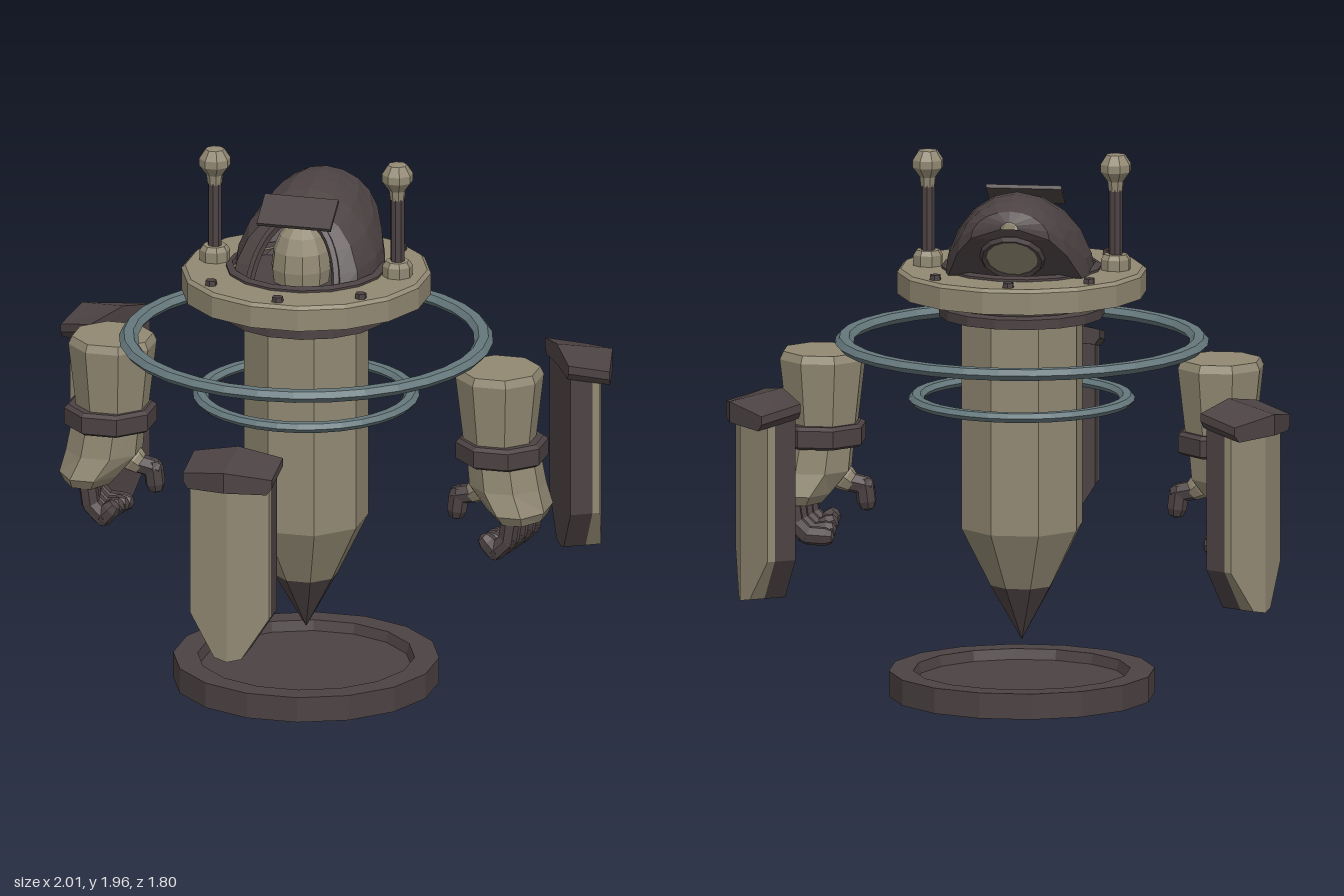
import * as THREE from 'three';

const dark = new THREE.MeshStandardMaterial({ color: 0x4c4243, side: THREE.DoubleSide });
dark.name = 'dark iron';
const tan = new THREE.MeshStandardMaterial({ color: 0x928973 });
tan.name = 'weathered stone';
const teal = new THREE.MeshStandardMaterial({ color: 0x65787c });
teal.name = 'blue grey metal';

const V = (x, y, z) => new THREE.Vector3(x, y, z);

// Faceted mesh: unshared corners give flat normals
function add(parent, name, geo, mat, x = 0, y = 0, z = 0) {
  const flat = geo.index ? geo.toNonIndexed() : geo;
  flat.computeVertexNormals();
  const mesh = new THREE.Mesh(flat, mat);
  mesh.name = name;
  mesh.position.set(x, y, z);
  parent.add(mesh);
  return mesh;
}

// Revolved profile of [radius, y], listed from bottom to top
function lathe(profile, sides) {
  const geo = new THREE.LatheGeometry(profile.map(([r, y]) => new THREE.Vector2(r, y)), sides);
  return geo.rotateY(Math.PI / sides);
}

// Skin between equal-length closed rings
function loft(rings) {
  const n = rings[0].length, pos = [], idx = [];
  rings.forEach(ring => ring.forEach(p => pos.push(p.x, p.y, p.z)));
  for (let j = 0; j < rings.length - 1; j++)
    for (let i = 0; i < n; i++) {
      const a = j * n + i, b = j * n + (i + 1) % n;
      idx.push(a, b, a + n, b, b + n, a + n);
    }
  const geo = new THREE.BufferGeometry();
  geo.setAttribute('position', new THREE.Float32BufferAttribute(pos, 3));
  geo.setIndex(idx);
  return geo;
}

// Chain of rounded segments through points
function chain(parent, name, points, radius, mat) {
  for (let i = 0; i < points.length - 1; i++) {
    const dir = points[i + 1].clone().sub(points[i]);
    const seg = add(parent, name, new THREE.CapsuleGeometry(radius, dir.length(), 2, 7), mat);
    seg.position.copy(points[i]).addScaledVector(dir, 0.5);
    seg.quaternion.setFromUnitVectors(V(0, 1, 0), dir.normalize());
  }
}

function ring(parent, name, radius, tubeR, y) {
  const geo = new THREE.TorusGeometry(radius, tubeR, 6, 32).rotateX(Math.PI / 2).scale(1, 0.68, 1);
  add(parent, name, geo, teal, 0, y, 0);
}

// Helmet: tilted hood, open at the front, with a slanted rear port
function makeHelmet() {
  const g = new THREE.Group();
  g.name = 'helmet';
  // zTop, yTop, half width, forward shift of the foot, yBottom
  const sections = [
    [0.07, 1.755, 0.16, 0.13, 1.5], [0.04, 1.78, 0.232, 0.12, 1.5],
    [-0.05, 1.82, 0.265, 0.05, 1.5], [-0.13, 1.838, 0.26, 0, 1.5],
    [-0.2, 1.842, 0.235, 0, 1.55], [-0.28, 1.83, 0.195, 0, 1.64],
    [-0.335, 1.805, 0.14, 0, 1.705], [-0.36, 1.77, 0.03, 0, 1.745],
  ];
  const rings = sections.map(([z, yt, w, shift, yb]) => {
    const pts = [];
    for (let i = 0; i <= 10; i++) {
      const t = Math.PI * (1 - i / 10), s = Math.sin(t);
      pts.push(V(w * Math.cos(t), yb + (yt - yb) * s, z + shift * (1 - s)));
    }
    return pts;
  });
  add(g, 'hood', loft(rings), dark);
  const edge = new THREE.CatmullRomCurve3(rings[0]);
  add(g, 'faceRim', new THREE.TubeGeometry(edge, 20, 0.016, 5), dark);
  add(g, 'head', new THREE.SphereGeometry(1, 10, 8).scale(0.108, 0.17, 0.105), tan, 0, 1.57, 0.07);

  const port = new THREE.Group();
  port.name = 'rearPort';
  port.position.set(0, 1.628, -0.27);
  port.quaternion.setFromUnitVectors(V(0, 0, 1), V(0, -0.657, -0.754).normalize());
  add(port, 'portPlate', new THREE.CircleGeometry(0.1, 14), tan, 0, 0, 0.006);
  add(port, 'portRim', new THREE.TorusGeometry(0.103, 0.014, 5, 14), dark);
  g.add(port);

  const visor = add(g, 'visor', new THREE.BoxGeometry(0.27, 0.014, 0.135), dark, 0, 1.783, 0.113);
  visor.rotation.x = 0.58;
  return g;
}

// Gauntlet for the +x side, thumb toward the column
function makeHand() {
  const g = new THREE.Group();
  g.name = 'hand';
  add(g, 'cuff', lathe([[0.125, 0.92], [0.158, 1.2], [0.145, 1.228], [0, 1.228]], 8), tan, 0.71);
  add(g, 'wristBand', lathe([[0, 0.89], [0.15, 0.89], [0.166, 0.9], [0.166, 0.96], [0.15, 0.972], [0, 0.972]], 8),
    dark, 0.718);
  // y, centre x, radius in x, radius in z
  const palm = [[0.68, 0.79, 0.001, 0.001], [0.685, 0.79, 0.085, 0.13], [0.72, 0.783, 0.108, 0.152],
    [0.8, 0.74, 0.13, 0.13], [0.9, 0.726, 0.125, 0.122]];
  add(g, 'palm', loft(palm.map(([y, cx, rx, rz]) => Array.from({ length: 8 }, (_, i) => {
    const t = (i + 0.5) * Math.PI / 4;
    return V(cx + rx * Math.sin(t) * 1.06, y, rz * Math.cos(t) * 1.06);
  }))), tan);
  chain(g, 'thumbBase', [V(0.69, 0.81, 0), V(0.63, 0.765, 0)], 0.048, tan);
  chain(g, 'thumb', [V(0.62, 0.755, 0), V(0.56, 0.742, 0), V(0.553, 0.685, 0)], 0.036, dark);
  for (let i = 0; i < 4; i++) {
    const z = -0.096 + i * 0.064, k = i * 0.012;
    chain(g, 'finger', [V(0.81 - k, 0.69, z), V(0.8 - k, 0.62, z), V(0.755 - k, 0.575, z), V(0.69, 0.572 + k, z)],
      0.034, dark);
  }
  return g;
}

// Half outline extruded in z, mirrored; the outer face slopes back to the sides
function shardPart(parent, name, outline, z0, z1, slope, drop, mat) {
  for (const s of [1, -1]) {
    const shape = new THREE.Shape(outline.map(([x, y]) => new THREE.Vector2(s * x, y)));
    const geo = new THREE.ExtrudeGeometry(shape, { depth: z1 - z0, bevelEnabled: false });
    const p = geo.attributes.position;
    for (let i = 0; i < p.count; i++) {
      const front = p.getZ(i) > 1e-4 ? 1 : 0;
      p.setY(i, p.getY(i) - drop * front);
      p.setZ(i, z0 + p.getZ(i) - slope * front * Math.abs(p.getX(i)) / 0.15);
    }
    add(parent, name, geo, mat);
  }
}

function makeShard() {
  const g = new THREE.Group();
  g.name = 'floatingShard';
  const body = [[0, 0.42], [0, 1.12], [0.145, 1.09], [0.145, 0.58], [0.05, 0.43]];
  const cap = [[0, 1.1], [0, 1.175], [0.163, 1.145], [0.163, 1.115], [0.145, 1.09]];
  shardPart(g, 'innerSlab', body, 0.93, 1.01, 0, 0, dark);
  shardPart(g, 'outerPlate', body, 1.01, 1.082, 0.045, 0, tan);
  shardPart(g, 'shardCap', cap, 0.918, 1.123, 0.05, 0.035, dark);
  return g;
}

export function createModel() {
  const model = new THREE.Group();
  model.name = 'floatingGuardian';
  const axis = new THREE.Group();
  axis.name = 'body';
  axis.position.z = -0.23;
  model.add(axis);

  // Round base with recessed top
  add(axis, 'base', lathe([[0, 0.015], [0.435, 0.015], [0.445, 0], [0.472, 0], [0.472, 0.092],
    [0.385, 0.092], [0.375, 0.055], [0, 0.055]], 16), dark);

  // Pointed column
  add(axis, 'columnTip', lathe([[0, 0.2], [0.115, 0.4]], 8), dark);
  add(axis, 'column', lathe([[0.115, 0.4], [0.222, 0.61], [0.222, 1.4]], 8), tan);

  // Shoulder disc and neck
  add(axis, 'neck', lathe([[0, 1.37], [0.294, 1.37], [0.294, 1.405], [0.265, 1.412], [0.28, 1.46], [0, 1.46]], 16), dark);
  add(axis, 'disc', lathe([[0.2, 1.452], [0.443, 1.452], [0.443, 1.53], [0.43, 1.542], [0.24, 1.542]], 16), tan);
  add(axis, 'collar', lathe([[0.285, 1.53], [0.285, 1.55], [0.262, 1.558], [0.25, 1.52], [0, 1.52]], 16), dark);
  for (let i = 0; i < 8; i++) {
    if (i % 4 === 2) continue;
    const a = i * Math.PI / 4;
    add(axis, 'bolt', new THREE.CylinderGeometry(0.02, 0.022, 0.02, 6), dark,
      0.388 * Math.sin(a), 1.55, 0.388 * Math.cos(a));
  }
  axis.add(makeHelmet());

  // Antennas
  for (const s of [-1, 1]) {
    add(axis, 'antennaFoot', lathe([[0.054, 1.535], [0.054, 1.58], [0.042, 1.597], [0, 1.597]], 8), tan, s * 0.335);
    add(axis, 'antennaRod', new THREE.CylinderGeometry(0.025, 0.025, 0.26, 8), dark, s * 0.335, 1.715, 0);
    add(axis, 'antennaKnob', lathe([[0, 1.825], [0.026, 1.825], [0.03, 1.86], [0.056, 1.895], [0.056, 1.922],
      [0.034, 1.955], [0, 1.96]], 8), tan, s * 0.335);
  }

  // Floating rings
  ring(axis, 'largeRing', 0.63, 0.034, 1.275);
  ring(axis, 'smallRing', 0.374, 0.028, 1.07);

  // Hands, mirrored
  for (const s of [1, -1]) {
    const hand = makeHand();
    hand.scale.x = s;
    axis.add(hand);
  }

  // Three shards around the column
  for (let i = 0; i < 3; i++) {
    const shard = makeShard();
    shard.rotation.y = i * Math.PI * 2 / 3;
    axis.add(shard);
  }
  return model;
}
